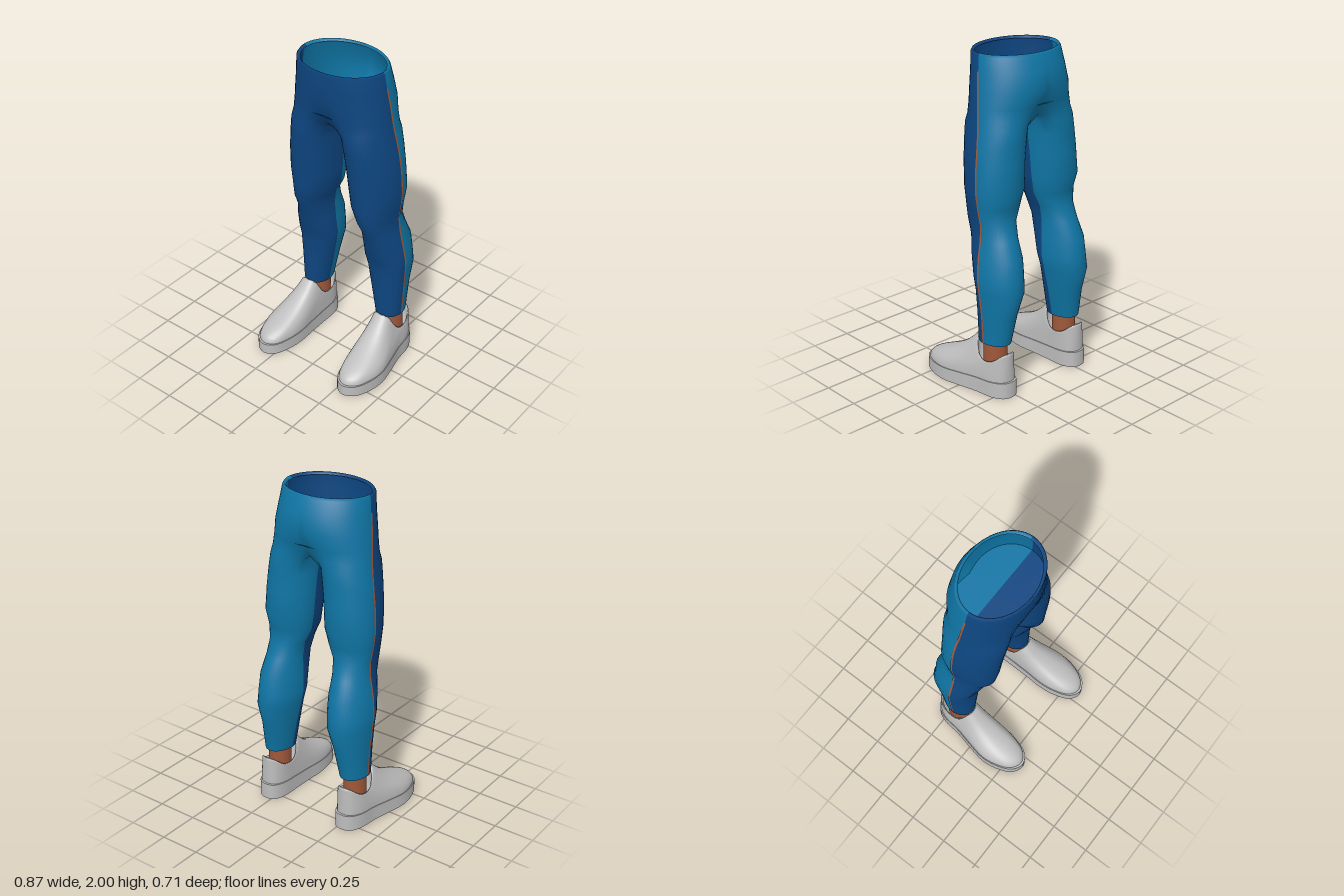
import * as THREE from 'three';
import { mergeVertices } from 'three/addons/utils/BufferGeometryUtils.js';

const mat = (name, color, side = THREE.DoubleSide) => {
  const m = new THREE.MeshStandardMaterial({ color, side });
  m.name = name;
  return m;
};

// Triangles between successive rows of points; side = -1 mirrors across x
function skin(rows, side = 1, keep = () => true) {
  const out = [];
  const put = (...pts) => pts.forEach(p => out.push(p[0] * side, p[1], p[2]));
  for (let i = 0; i < rows.length - 1; i++) {
    for (let j = 0; j < rows[i].length - 1; j++) {
      if (!keep(j)) continue;
      const a = rows[i][j], b = rows[i][j + 1], c = rows[i + 1][j + 1], d = rows[i + 1][j];
      if (side > 0) put(a, b, c, a, c, d);
      else put(a, c, b, a, d, c);
    }
  }
  return out;
}

// Welded smooth mesh with one material group per list of triangles
function smoothMesh(name, lists, materials) {
  let g = new THREE.BufferGeometry();
  g.setAttribute('position', new THREE.Float32BufferAttribute(lists.flat(), 3));
  let start = 0;
  lists.forEach((l, i) => {
    g.addGroup(start, l.length / 3, i);
    start += l.length / 3;
  });
  g = mergeVertices(g, 1e-5);
  g.computeVertexNormals();
  const mesh = new THREE.Mesh(g, materials);
  mesh.name = name;
  return mesh;
}

const K = 28, M = 8; // segments around the outer arc and the inner thigh

// Hip rows: y, lobe blend, half width, front z, seam z, back z
const HIPS = [
  [1.985, 0, 0.255, 0.148, -0.052, -0.245],
  [2.0, 0, 0.27, 0.158, -0.05, -0.253],
  [1.985, 0, 0.28, 0.165, -0.05, -0.262],
  [1.9, 0, 0.29, 0.16, -0.058, -0.295],
  [1.8, 0.08, 0.305, 0.155, -0.07, -0.312],
  [1.71, 0.3, 0.315, 0.142, -0.08, -0.287],
  [1.64, 0.65, 0.322, 0.131, -0.09, -0.272],
];
// Leg rows: y, inner x, outer x, front z, seam z, back z
const LEGS = [
  [1.59, 0.022, 0.33, 0.127, -0.098, -0.27],
  [1.5, 0.035, 0.345, 0.12, -0.108, -0.268],
  [1.38, 0.045, 0.362, 0.108, -0.115, -0.266],
  [1.23, 0.057, 0.37, 0.093, -0.12, -0.275],
  [1.13, 0.07, 0.36, 0.085, -0.125, -0.238],
  [1.04, 0.115, 0.345, 0.075, -0.13, -0.243],
  [0.95, 0.127, 0.352, 0.03, -0.135, -0.28],
  [0.84, 0.122, 0.375, 0.0, -0.14, -0.33],
  [0.73, 0.115, 0.39, -0.035, -0.15, -0.337],
  [0.65, 0.13, 0.385, -0.058, -0.155, -0.355],
  [0.5, 0.16, 0.372, -0.06, -0.163, -0.31],
  [0.32, 0.195, 0.363, -0.067, -0.163, -0.28],
];

// Point on an oval whose front and back depths differ; angle 0 = front, 90 = outer
function oval(deg, xin, xout, y, zf, zs, zb) {
  const r = deg * Math.PI / 180, c = Math.cos(r);
  return [(xin + xout) / 2 + (xout - xin) / 2 * Math.sin(r), y, zs + c * (c > 0 ? zf - zs : zs - zb)];
}

function hipArc([y, w, xo, zf, zs, zb]) {
  return Array.from({ length: K + 1 }, (_, j) => {
    const u = j / K;
    const p = oval(180 * u, -xo, xo, y, zf, zs, zb);
    const l = oval(-50 + 280 * u, 0.01, xo, y, zf, zs, zb);
    const edge = j === 0 || j === K;
    return [edge ? 0 : p[0] + (l[0] - p[0]) * w, y, p[2] + (l[2] - p[2]) * w];
  });
}

function legRing([y, xi, xo, zf, zs, zb]) {
  return Array.from({ length: K + M + 1 }, (_, j) => {
    const deg = j <= K ? -50 + 280 * j / K : 230 + 80 * (j - K) / M;
    return oval(deg, xi, xo, y, zf, zs, zb);
  });
}

function makeTrousers(front, back, seam) {
  const group = new THREE.Group();
  group.name = 'trousers';
  const arcs = HIPS.map(hipArc);
  const hem = arcs[arcs.length - 1];

  // Close the lowest hip arc through the crotch to start each leg
  const first = hem.slice();
  for (let m = 1; m <= M; m++) {
    const t = m / M;
    first.push([0, 1.64, hem[K][2] + (hem[0][2] - hem[K][2]) * t]);
  }
  const legs = [first, ...LEGS.map(legRing)].reverse();
  const hips = arcs.slice().reverse();
  const isFront = j => j < K / 2 || j >= K + M / 2;
  const isBack = j => !isFront(j);
  const cloth = keep => [1, -1].flatMap(s => [...skin(hips, s, keep), ...skin(legs, s, keep)]);
  group.add(smoothMesh('trouserCloth', [cloth(isFront), cloth(isBack)], [front, back]));

  // Inner lining just above the crotch
  const lining = arcs[arcs.length - 2].map(p => [p[0], p[1], p[2]]);
  const floor = [lining, lining.map(p => [0, p[1], p[2]])];
  const fill = keep => [1, -1].flatMap(s => skin(floor, s, keep));
  group.add(smoothMesh('lining', [fill(isFront), fill(isBack)], [front, back]));

  // Thin side seams
  const line = [...HIPS.slice(3).map(r => [r[2], r[0], r[4]]), ...LEGS.map(r => [r[2], r[0], r[4]])].reverse();
  const strip = line.map(([x, y, z]) => [[x + 0.002, y, z + 0.006], [x + 0.002, y, z - 0.006]]);
  for (const s of [1, -1]) group.add(smoothMesh('sideSeam', [skin(strip, s)], [seam]));
  return group;
}

// Sole outline (x, z) and matching collar edge (x, y, z), starting at the toe
const SOLE = [
  [0.31, 0.355], [0.38, 0.32], [0.425, 0.22], [0.437, 0.12], [0.415, 0], [0.388, -0.12], [0.372, -0.24], [0.335, -0.305],
  [0.285, -0.32], [0.235, -0.305], [0.205, -0.24], [0.2, -0.12], [0.197, 0], [0.192, 0.12], [0.205, 0.22], [0.245, 0.32],
];
const COLLAR = [
  [0.28, 0.338, -0.05], [0.31, 0.336, -0.055], [0.335, 0.32, -0.07], [0.352, 0.28, -0.09],
  [0.363, 0.235, -0.12], [0.367, 0.21, -0.17], [0.36, 0.225, -0.235], [0.328, 0.268, -0.29],
  [0.285, 0.277, -0.308], [0.242, 0.268, -0.29], [0.21, 0.225, -0.235], [0.205, 0.21, -0.17],
  [0.207, 0.235, -0.12], [0.214, 0.28, -0.09], [0.228, 0.32, -0.07], [0.25, 0.336, -0.055],
];

function closedLoop(pts, n = 64) {
  const curve = new THREE.CatmullRomCurve3(pts.map(p => new THREE.Vector3(...p)), true);
  return Array.from({ length: n + 1 }, (_, i) => curve.getPoint((i % n) / n).toArray());
}

function makeShoe(side, shoe, flesh) {
  const group = new THREE.Group();
  group.name = side > 0 ? 'leftShoe' : 'rightShoe';
  const outline = closedLoop(SOLE.map(([x, z]) => [x, 0, z]));
  const collar = closedLoop(COLLAR);
  const soleTop = z => 0.07 + 0.03 * (0.355 - z) / 0.675;
  const shrink = (p, k, y) => [0.308 + (p[0] - 0.308) * k, y, 0.02 + (p[2] - 0.02) * k];

  // Sole: flat underside, straight wall, narrow ledge
  const base = outline.map(p => [p[0], 0, p[2]]);
  const rim = outline.map(p => [p[0], soleTop(p[2]), p[2]]);
  const ledge = outline.map(p => shrink(p, 0.96, soleTop(p[2])));
  group.add(smoothMesh('underside', [skin([base.map(p => [0.308, 0, p[2] * 0.8]), base], side)], [shoe]));
  group.add(smoothMesh('soleWall', [skin([base, rim], side)], [shoe]));
  group.add(smoothMesh('soleLedge', [skin([rim, ledge], side)], [shoe]));

  // Upper: each point curves from the ledge up to the collar, then folds inside
  const rows = [];
  for (let i = 0; i <= 12; i++) {
    const t = i / 12, s = 1 - t;
    rows.push(ledge.map((b, j) => {
      const c = collar[j];
      const lean = Math.max(0, b[2] + 0.1) / 0.45;
      const p1 = [b[0], b[1] + 0.045 + 0.035 * lean, b[2]];
      const p2y = b[1] + (c[1] - b[1]) * (0.7 - 0.4 * Math.min(1, lean));
      const p2 = [c[0] + (b[0] - c[0]) * 0.4, p2y, c[2] + (b[2] - c[2]) * 0.4];
      return [0, 1, 2].map(k =>
        s * s * s * b[k] + 3 * s * s * t * p1[k] + 3 * s * t * t * p2[k] + t * t * t * c[k]);
    }));
  }
  const inside = (k, y) => collar.map(c => [0.286 + (c[0] - 0.286) * k, y(c[1]), -0.18 + (c[2] + 0.18) * k]);
  rows.push(inside(0.93, y => y + 0.002), inside(0.88, y => y - 0.015), inside(0.84, () => 0.17), inside(0, () => 0.17));
  group.add(smoothMesh('upper', [skin(rows, side)], [shoe]));

  // Ankle
  const ankle = new THREE.Mesh(new THREE.CylinderGeometry(0.068, 0.068, 0.24, 24), flesh);
  ankle.name = 'ankle';
  ankle.scale.z = 1.06;
  ankle.position.set(0.282 * side, 0.28, -0.177);
  group.add(ankle);
  return group;
}

export function createModel() {
  const model = new THREE.Group();
  model.name = 'trousersAndShoes';
  const front = mat('darkBlueCloth', 0x0d4681);
  const back = mat('tealBlueCloth', 0x0f76a6);
  const shoe = mat('lightGrey', 0xbdbdbd);
  const flesh = mat('brownSkin', 0xa0583a);
  model.add(makeTrousers(front, back, flesh));
  for (const s of [1, -1]) model.add(makeShoe(s, shoe, flesh));
  return model;
}
